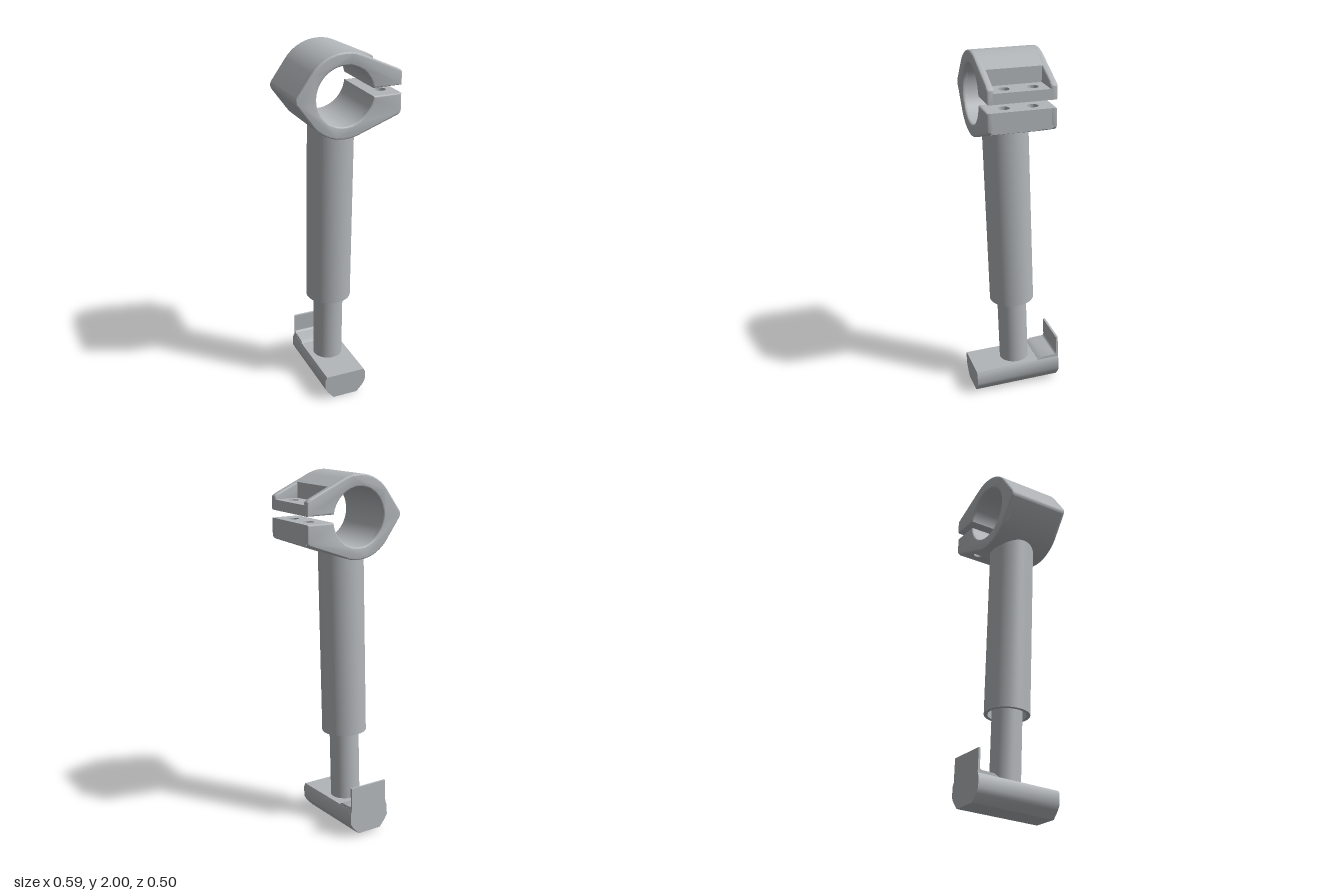
import * as THREE from 'three';
import { toCreasedNormals } from 'three/addons/utils/BufferGeometryUtils.js';

const rad = THREE.MathUtils.degToRad;
const CX = -0.025, CY = 1.774;      // centre of the clamp ring
const R = 0.226, BORE = 0.159;      // ring radii
const TIP_X = -0.258, TIP_R = 0.037; // lug with the small pin hole
const SLOT_LOW = 1.757, SLOT_HIGH = 1.8;
const EAR_X = 0.293, POCKET_X = 0.153;

export function createModel() {
  const metal = new THREE.MeshStandardMaterial({ color: 0xb2b6b9 });
  metal.name = 'plain grey metal';
  const model = new THREE.Group();
  model.name = 'clampArm';

  function add(parent, name, geometry, x = 0, y = 0, z = 0) {
    const mesh = new THREE.Mesh(toCreasedNormals(geometry, rad(32)), metal);
    mesh.name = name;
    mesh.position.set(x, y, z);
    parent.add(mesh);
    return mesh;
  }

  // Split-ring profile, with full ears or with the ears cut off at the pocket wall
  function ringShape(withEars) {
    const a = Math.acos((R - TIP_R) / (CX - TIP_X));
    const s = new THREE.Shape();
    if (withEars) {
      s.moveTo(EAR_X, SLOT_HIGH);
      s.lineTo(EAR_X, 1.868);
      s.quadraticCurveTo(EAR_X, 1.878, 0.27, 1.888);
    } else {
      s.moveTo(POCKET_X, SLOT_HIGH);
      s.lineTo(POCKET_X, 1.941);
    }
    s.absarc(CX, CY, R, rad(65), Math.PI - a, false);
    s.absarc(TIP_X, CY, TIP_R, Math.PI - a, Math.PI + a, false);
    s.absarc(CX, CY, R, Math.PI + a, rad(290), false);
    if (withEars) {
      s.lineTo(0.275, 1.642);
      s.quadraticCurveTo(EAR_X, 1.65, EAR_X, 1.668);
      s.lineTo(EAR_X, SLOT_LOW);
    } else {
      s.lineTo(POCKET_X, 1.598);
      s.lineTo(POCKET_X, SLOT_LOW);
    }
    s.absarc(CX, CY, BORE, Math.asin((SLOT_LOW - CY) / BORE), Math.asin((SLOT_HIGH - CY) / BORE), true);
    s.holes.push(new THREE.Path().absarc(TIP_X, CY, 0.023, 0, Math.PI * 2, true));
    return s;
  }

  // Clamp: plain middle section between two bevelled end walls
  const clamp = new THREE.Group();
  clamp.name = 'clamp';
  model.add(clamp);
  add(clamp, 'clampRing', new THREE.ExtrudeGeometry(ringShape(false),
    { depth: 0.338, bevelEnabled: false, curveSegments: 40 }), 0, 0, -0.12);
  const bevel = 0.008, wall = 0.037;
  for (const [name, z] of [['backClampWall', -0.135], ['frontClampWall', 0.196]]) {
    add(clamp, name, new THREE.ExtrudeGeometry(ringShape(true), {
      depth: wall - 2 * bevel, bevelThickness: bevel, bevelSize: bevel,
      bevelOffset: -bevel, bevelSegments: 3, curveSegments: 40,
    }), 0, 0, z + bevel);
  }

  // Ear plates with two bolt holes each (shape y becomes -z)
  const plate = new THREE.Shape();
  plate.moveTo(POCKET_X - 0.004, -0.214);
  plate.lineTo(EAR_X, -0.214);
  plate.lineTo(EAR_X, 0.116);
  plate.lineTo(POCKET_X - 0.004, 0.116);
  for (const z of [-0.027, 0.125]) {
    plate.holes.push(new THREE.Path().absarc(0.221, -z, 0.03, 0, Math.PI * 2, true));
  }
  for (const [name, low, high] of [['upperEar', SLOT_HIGH, 1.856], ['lowerEar', 1.65, SLOT_LOW]]) {
    const g = new THREE.ExtrudeGeometry(plate, { depth: high - low, bevelEnabled: false, curveSegments: 24 });
    g.rotateX(-Math.PI / 2);
    add(clamp, name, g, 0, low, 0);
  }

  // Slightly leaning arm that carries the tube, rod and foot
  const arm = new THREE.Group();
  arm.name = 'leaningArm';
  arm.position.set(CX, 0.009, -0.01);
  arm.rotation.x = 0.034;
  model.add(arm);

  // Outer tube with a recessed lower mouth
  const tube = [[0, 0.62], [0.105, 0.62], [0.105, 0.54], [0.125, 0.54], [0.125, 1.59], [0, 1.59]];
  add(arm, 'outerTube', new THREE.LatheGeometry(tube.map(p => new THREE.Vector2(...p)), 64));
  add(arm, 'innerRod', new THREE.CylinderGeometry(0.083, 0.083, 0.52, 48), 0, 0.38, 0);

  // Foot bar: faceted profile run along z
  const half = [[0.073, 0], [0.11, 0.042], [0.124, 0.068], [0.124, 0.125], [0.115, 0.145]];
  const foot = new THREE.Shape([
    ...half, ...half.slice().reverse().map(([x, y]) => [-x, y]),
  ].map(p => new THREE.Vector2(...p)));
  add(arm, 'footBar', new THREE.ExtrudeGeometry(foot, { depth: 0.5, bevelEnabled: false }), 0, 0, -0.24);

  // Raised step with a sloped front, joined to the upright stop by a small fillet
  const step = new THREE.Shape();
  step.moveTo(0.115, 0.14);
  step.lineTo(0.235, 0.14);
  step.lineTo(0.235, 0.175);
  step.lineTo(0.228, 0.175);
  step.quadraticCurveTo(0.227, 0.163, 0.215, 0.162);
  step.lineTo(0.14, 0.16);
  step.lineTo(0.115, 0.146);
  const stepGeometry = new THREE.ExtrudeGeometry(step, { depth: 0.228, bevelEnabled: false });
  stepGeometry.rotateY(Math.PI / 2);
  add(arm, 'footStep', stepGeometry, -0.114, 0, 0);
  add(arm, 'backStop', new THREE.BoxGeometry(0.228, 0.16, 0.012), 0, 0.197, -0.234);

  return model;
}
